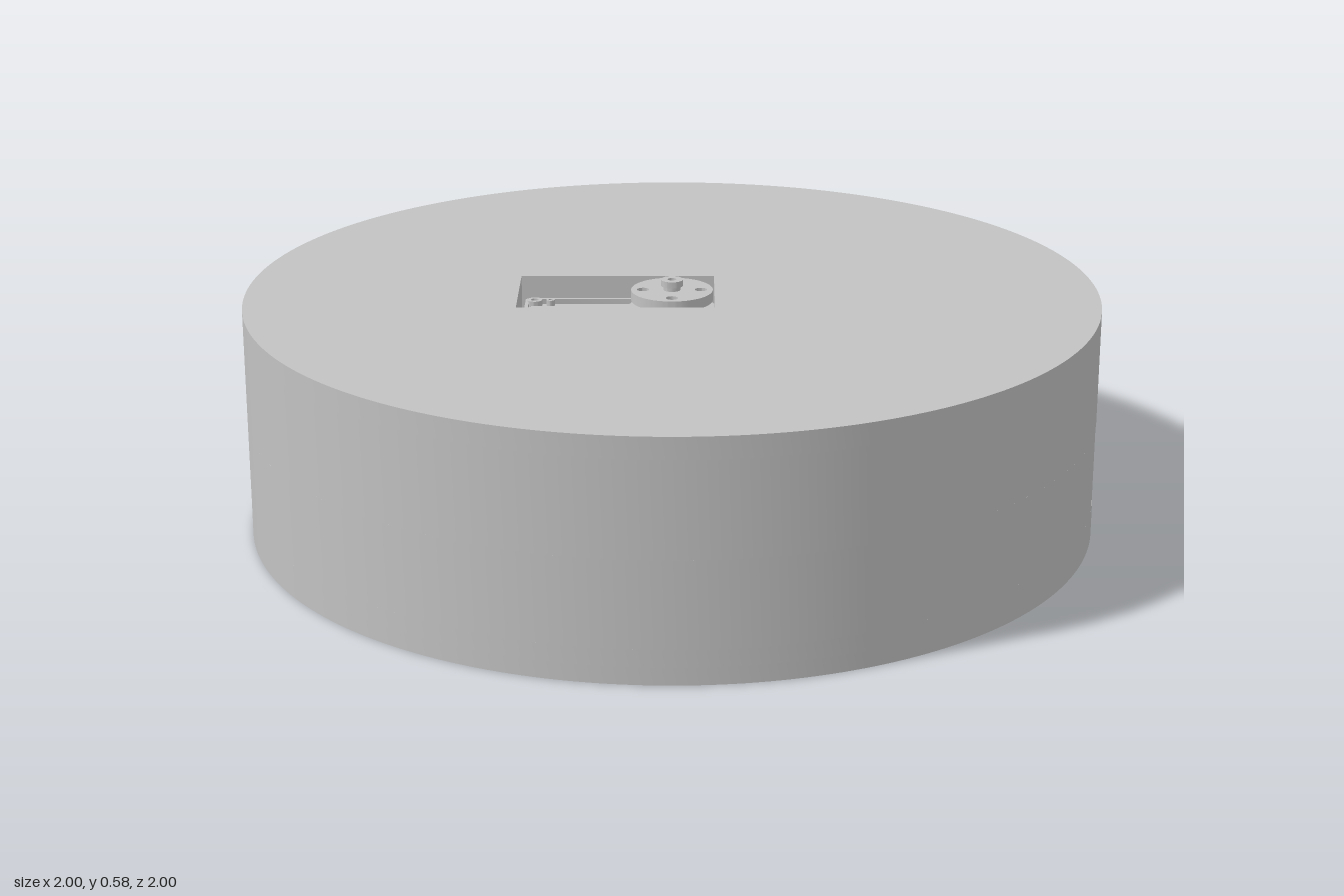
import * as THREE from 'three';
import { toCreasedNormals } from 'three/addons/utils/BufferGeometryUtils.js';

const grey = new THREE.MeshStandardMaterial({ color: 0xc2c2c2 });
grey.name = 'grey plastic';

// Plan outlines: shape y becomes -z
const circle = (r, x = 0, y = 0, Type = THREE.Shape) => {
  const s = new Type();
  s.absarc(x, y, r, 0, Math.PI * 2, false);
  return s;
};
const rect = (x0, x1, w, Type = THREE.Shape, r = 0) => {
  const s = new Type();
  if (!r) {
    s.moveTo(x0, -w).lineTo(x1, -w).lineTo(x1, w).lineTo(x0, w).closePath();
    return s;
  }
  s.absarc(x1 - r, -w + r, r, -Math.PI / 2, 0, false);
  s.absarc(x1 - r, w - r, r, 0, Math.PI / 2, false);
  s.absarc(x0 + r, w - r, r, Math.PI / 2, Math.PI, false);
  s.absarc(x0 + r, -w + r, r, Math.PI, Math.PI * 1.5, false);
  s.closePath();
  return s;
};

export function createModel() {
  const model = new THREE.Group();
  model.name = 'motorDrum';
  const housing = new THREE.Group();
  housing.name = 'housing';
  const servo = new THREE.Group();
  servo.name = 'servo';
  model.add(housing, servo);

  // Flat slab between two heights, with optional holes
  const slab = (parent, name, shape, y0, y1, holes = [], segments = 16) => {
    shape.holes.push(...holes);
    const g = new THREE.ExtrudeGeometry(shape, { depth: y1 - y0, bevelEnabled: false, curveSegments: segments });
    g.rotateX(-Math.PI / 2).translate(0, y0, 0);
    const mesh = new THREE.Mesh(toCreasedNormals(g, 0.5), grey);
    mesh.name = name;
    parent.add(mesh);
  };

  const R = 1, RI = 0.9, WIN = 0.2, TOP = 0.55;

  // Drum: floor, wall below, beside and above the window, lid with pocket opening
  slab(housing, 'floorPlate', circle(R), 0, 0.04, [], 120);
  slab(housing, 'lowerWall', circle(R), 0.04, 0.08, [circle(RI, 0, 0, THREE.Path)], 120);
  const a = Math.asin(WIN / R), b = Math.asin(WIN / RI);
  const cShape = new THREE.Shape();
  cShape.absarc(0, 0, R, a, Math.PI * 2 - a, false);
  cShape.absarc(0, 0, RI, Math.PI * 2 - b, b, true);
  cShape.closePath();
  slab(housing, 'windowWall', cShape, 0.08, 0.28, [], 120);
  slab(housing, 'upperWall', circle(R), 0.28, 0.5, [circle(RI, 0, 0, THREE.Path)], 120);
  slab(housing, 'lid', circle(R), 0.5, TOP, [rect(-0.36, 0.1, 0.125, THREE.Path)], 120);

  // Servo pocket hanging under the lid
  slab(housing, 'pocketWalls', rect(-0.395, 0.135, 0.16), 0.18, 0.5, [rect(-0.36, 0.1, 0.125, THREE.Path)]);
  slab(housing, 'pocketFloor', rect(-0.395, 0.135, 0.16), 0.15, 0.18);

  // Servo case with a rim around a recessed cover
  slab(servo, 'servoBody', rect(-0.35, 0.095, 0.119, THREE.Shape, 0.015), 0.18, 0.485);
  slab(servo, 'servoRim', rect(-0.35, 0.095, 0.119, THREE.Shape, 0.015), 0.485, 0.497,
    [rect(-0.342, 0.087, 0.111, THREE.Path, 0.012)]);
  slab(servo, 'coverPlate', rect(-0.335, -0.07, 0.068), 0.485, 0.493);
  slab(servo, 'gearBoss', circle(0.105), 0.485, 0.51, [], 40);

  // Case screws with sunken heads
  for (const side of [-1, 1]) {
    for (const [x, z, r] of [[-0.328, 0.1, 0.018], [-0.29, 0.1, 0.01], [-0.085, 0.1, 0.01], [0.07, 0.093, 0.012]]) {
      slab(servo, 'caseScrew', circle(r, x, z * side), 0.485, 0.499, [circle(r * 0.5, x, z * side, THREE.Path)], 16);
    }
  }

  // Output horn: drilled disc, hub and shaft screw
  const drill = [[1, 0], [-1, 0], [0, 1], [0, -1]].map(([x, y]) => circle(0.014, x * 0.068, y * 0.068, THREE.Path));
  slab(servo, 'hornDisc', circle(0.096), 0.53, 0.555, drill, 48);
  slab(servo, 'hornNeck', circle(0.045), 0.51, 0.53, [], 24);
  slab(servo, 'outputShaft', circle(0.02), 0.555, 0.565, [], 24);
  slab(servo, 'shaftScrew', circle(0.026), 0.565, 0.58, [circle(0.01, 0, 0, THREE.Path)], 24);

  return model;
}
